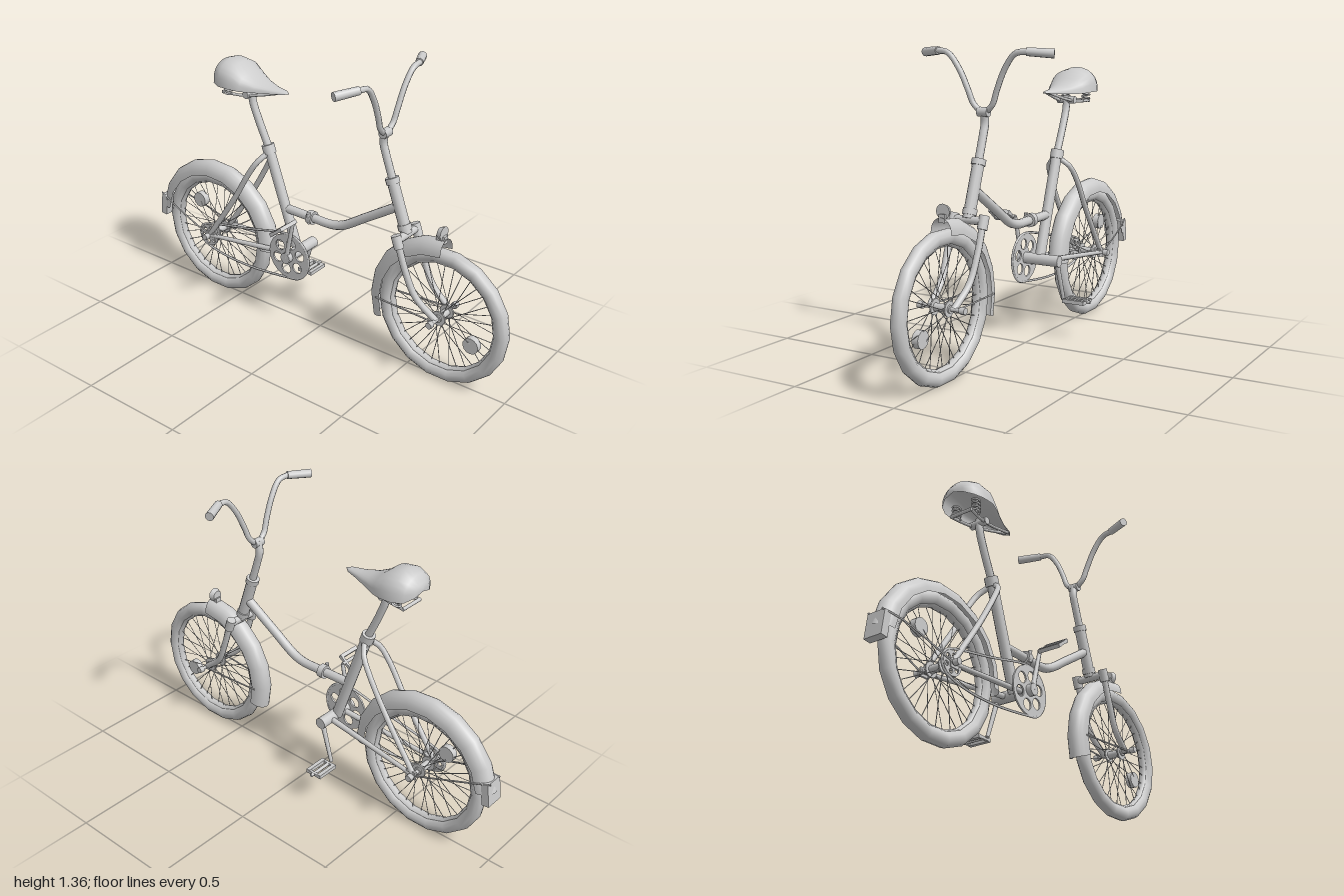
import * as THREE from 'three';
import { mergeGeometries } from 'three/addons/utils/BufferGeometryUtils.js';

const mat = new THREE.MeshStandardMaterial({ color: 0xcccccc });
const thin = new THREE.MeshStandardMaterial({ color: 0xcccccc, side: THREE.DoubleSide });
const V = (x, y, z = 0) => new THREE.Vector3(x, y, z);

function add(parent, name, geo, material = mat) {
  const m = new THREE.Mesh(geo, material);
  m.name = name;
  parent.add(m);
  return m;
}

// straight rod between two points
function rod(a, b, r0, r1 = r0, sides = 10) {
  const d = b.clone().sub(a);
  const g = new THREE.CylinderGeometry(r1, r0, d.length(), sides);
  g.applyQuaternion(new THREE.Quaternion().setFromUnitVectors(V(0, 1, 0), d.clone().normalize()));
  const c = a.clone().add(b).multiplyScalar(0.5);
  return g.translate(c.x, c.y, c.z);
}

// smooth bent tube
function tube(pts, r, closed = false, seg = 20, sides = 8) {
  return new THREE.TubeGeometry(new THREE.CatmullRomCurve3(pts, closed, 'centripetal'), seg, r, sides, closed);
}

// surface through rows of points
function loft(rows) {
  const n = rows[0].length, pos = [], idx = [];
  rows.forEach(row => row.forEach(p => pos.push(p.x, p.y, p.z)));
  for (let i = 0; i < rows.length - 1; i++) for (let j = 0; j < n - 1; j++) {
    const a = i * n + j, b = a + 1, c = a + n, d = c + 1;
    idx.push(a, b, c, b, d, c);
  }
  const g = new THREE.BufferGeometry();
  g.setAttribute('position', new THREE.Float32BufferAttribute(pos, 3));
  g.setIndex(idx);
  g.computeVertexNormals();
  return g;
}

// mudguard arched over the tyre, swept about the wheel centre
function fender(cx, cy, from, to, seg) {
  const rows = [];
  for (let i = 0; i <= seg; i++) {
    const a = THREE.MathUtils.degToRad(from + (to - from) * i / seg), row = [];
    for (let j = 0; j <= 10; j++) {
      const t = (j / 10 - 0.5) * Math.PI * 1.05, r = 0.308 + 0.062 * Math.cos(t);
      row.push(V(cx + r * Math.cos(a), cy + r * Math.sin(a), 0.05 * Math.sin(t)));
    }
    rows.push(row);
  }
  return loft(rows);
}

// flat sprocket with round cut-outs
function sprocket(r, holes, hr, hd, depth) {
  const s = new THREE.Shape().absarc(0, 0, r, 0, Math.PI * 2);
  for (let i = 0; i < holes; i++) {
    const a = i / holes * Math.PI * 2 + 0.3;
    s.holes.push(new THREE.Path().absarc(hd * Math.cos(a), hd * Math.sin(a), hr, 0, Math.PI * 2, true));
  }
  return new THREE.ExtrudeGeometry(s, { depth, bevelEnabled: false, curveSegments: 10 }).translate(0, 0, -depth / 2);
}

function wheel(name, x, y, reflectorAngle) {
  const g = new THREE.Group();
  g.name = name;
  g.position.set(x, y, 0);
  add(g, 'tyre', new THREE.TorusGeometry(0.291, 0.034, 10, 18));
  add(g, 'rim', new THREE.TorusGeometry(0.263, 0.012, 6, 18).scale(1, 1, 1.6));
  const spokes = [];
  for (let i = 0; i < 36; i++) {
    const a = i / 36 * Math.PI * 2, h = a + (i % 4 < 2 ? 0.35 : -0.35), s = i % 2 ? 1 : -1;
    spokes.push(rod(V(0.03 * Math.cos(h), 0.03 * Math.sin(h), s * 0.035),
      V(0.262 * Math.cos(a), 0.262 * Math.sin(a), 0), 0.0018, 0.0018, 4));
  }
  add(g, 'spokes', mergeGeometries(spokes));
  add(g, 'hub', rod(V(0, 0, -0.045), V(0, 0, 0.045), 0.018));
  add(g, 'axle', rod(V(0, 0, -0.11), V(0, 0, 0.11), 0.009, 0.009, 8));
  for (const s of [-1, 1]) {
    add(g, 'hubFlange', rod(V(0, 0, s * 0.031), V(0, 0, s * 0.038), 0.034, 0.034, 14));
    add(g, 'axleNut', rod(V(0, 0, s * 0.09), V(0, 0, s * 0.115), 0.016, 0.016, 6));
  }
  const rx = 0.178 * Math.cos(reflectorAngle), ry = 0.178 * Math.sin(reflectorAngle);
  add(g, 'spokeReflector', rod(V(rx, ry, -0.015), V(rx, ry, 0.015), 0.038, 0.038, 14));
  return g;
}

// crank arm with its cage pedal
function crank(s, end, tilt) {
  const g = new THREE.Group();
  g.name = s > 0 ? 'leftCrank' : 'rightCrank';
  add(g, 'crankArm', rod(V(-0.127, 0.37, s * 0.095), V(end.x, end.y, s * 0.1), 0.012, 0.009, 8));
  const p = new THREE.Group();
  p.name = 'pedal';
  p.position.set(end.x, end.y, s * 0.17);
  p.rotation.z = tilt;
  add(p, 'pedalAxle', rod(V(0, 0, -0.07), V(0, 0, 0.055), 0.008, 0.008, 8));
  for (const k of [-1, 1]) {
    add(p, 'pedalRail', new THREE.BoxGeometry(0.018, 0.018, 0.11).translate(k * 0.032, 0, 0));
    add(p, 'pedalEnd', new THREE.BoxGeometry(0.08, 0.014, 0.012).translate(0, 0, k * 0.05));
  }
  g.add(p);
  return g;
}

export function createModel() {
  const bike = new THREE.Group();
  bike.name = 'foldingBicycle';
  const RX = -0.632, FX = 0.67, WY = 0.32, BX = -0.127, BY = 0.37;
  bike.add(wheel('rearWheel', RX, WY, 2.3), wheel('frontWheel', FX, WY, -0.55));

  // mudguards and flaps
  add(bike, 'rearFender', fender(RX, WY, 0, 172, 9), thin);
  add(bike, 'frontFender', fender(FX, WY, 90, 198, 6), thin);
  const flap = add(bike, 'rearFlap', new THREE.BoxGeometry(0.035, 0.11, 0.09));
  flap.position.set(-0.975, 0.372, 0);
  flap.rotation.z = -0.12;

  // frame
  add(bike, 'seatTube', rod(V(-0.3, 0.85), V(BX - 0.008, BY), 0.025, 0.025, 12));
  add(bike, 'seatClamp', rod(V(-0.307, 0.865), V(-0.293, 0.825), 0.031, 0.031, 12));
  add(bike, 'seatPost', tube([V(-0.295, 0.84), V(-0.36, 0.98), V(-0.39, 1.06), V(-0.395, 1.12)], 0.018));
  add(bike, 'mainTube', tube([V(-0.2, 0.57), V(-0.05, 0.568), V(0.07, 0.568), V(0.13, 0.585), V(0.25, 0.66), V(0.415, 0.765)], 0.021, false, 24, 10));
  add(bike, 'foldingJoint', rod(V(-0.065, 0.568), V(-0.035, 0.568), 0.032, 0.032, 12));
  add(bike, 'jointLever', rod(V(-0.05, 0.545, 0.02), V(-0.05, 0.6, 0.025), 0.009));
  add(bike, 'bottomBracket', rod(V(BX, BY, -0.11), V(BX, BY, 0.105), 0.027, 0.027, 12));
  for (const s of [-1, 1]) {
    add(bike, 'seatStay', tube([V(-0.295, 0.83, s * 0.012), V(-0.325, 0.79, s * 0.055), V(-0.37, 0.72, s * 0.07),
      V(-0.46, 0.57, s * 0.073), V(RX, WY, s * 0.075)], 0.013));
    add(bike, 'chainStay', rod(V(BX, BY, s * 0.045), V(RX, WY, s * 0.078), 0.014, 0.01));
    add(bike, 'dropout', new THREE.BoxGeometry(0.05, 0.04, 0.01).translate(RX + 0.01, WY, s * 0.078));
    // wire fender braces
    add(bike, 'rearFenderBrace', tube([V(RX, WY, s * 0.085), V(-0.9, 0.408, s * 0.06), V(-0.995, 0.43, s * 0.035)], 0.004, false, 8, 5));
    add(bike, 'frontFenderBrace', rod(V(FX, WY, s * 0.075), V(0.35, 0.315, s * 0.05), 0.004, 0.004, 5));
  }

  // steering column and fork
  add(bike, 'headTube', rod(V(0.388, 0.88), V(0.468, 0.655), 0.026, 0.026, 12));
  add(bike, 'headCollar', rod(V(0.383, 0.895), V(0.392, 0.87), 0.031, 0.031, 12));
  add(bike, 'lowerCollar', rod(V(0.453, 0.695), V(0.462, 0.67), 0.031, 0.031, 12));
  add(bike, 'stem', tube([V(0.39, 0.88), V(0.35, 0.995), V(0.336, 1.045), V(0.345, 1.1)], 0.018, false, 16, 10));
  add(bike, 'forkCrown', rod(V(0.47, 0.65, -0.075), V(0.47, 0.65, 0.075), 0.018));
  for (const s of [-1, 1]) {
    add(bike, 'forkSleeve', rod(V(0.462, 0.673, s * 0.075), V(0.482, 0.617, s * 0.075), 0.022, 0.022, 12));
    add(bike, 'forkLeg', tube([V(0.475, 0.64, s * 0.075), V(0.52, 0.51, s * 0.074), V(0.57, 0.405, s * 0.068), V(FX, WY, s * 0.058)], 0.015));
  }

  // handlebar, swept back at the grips
  const half = [[0.364, 1.335, 0.165], [0.36, 1.27, 0.112], [0.355, 1.18, 0.07], [0.35, 1.12, 0.045]];
  const side = s => [V(0.36, 1.343, s * 0.22), ...half.map(p => V(p[0], p[1], s * p[2]))];
  add(bike, 'handlebar', tube([...side(1), V(0.346, 1.09, 0), ...side(-1).reverse()], 0.013, false, 44));
  add(bike, 'handlebarClamp', rod(V(0.346, 1.09, -0.025), V(0.346, 1.09, 0.025), 0.021));
  for (const s of [-1, 1]) {
    add(bike, 'grip', rod(V(0.36, 1.343, s * 0.215), V(0.31, 1.335, s * 0.318), 0.018, 0.02));
  }

  // fender-top lamp
  add(bike, 'frontLamp', rod(V(0.632, 0.712), V(0.655, 0.712), 0.024, 0.033, 12));
  add(bike, 'lampBracket', new THREE.BoxGeometry(0.04, 0.035, 0.03).translate(0.645, 0.685, 0));

  // drivetrain on the left side
  const CZ = 0.075;
  add(bike, 'chainring', sprocket(0.115, 6, 0.026, 0.068, 0.008)).position.set(BX, BY, CZ);
  add(bike, 'rearSprocket', sprocket(0.055, 6, 0.011, 0.036, 0.008)).position.set(RX, WY, CZ);
  const loop = [];
  for (let i = 0; i <= 6; i++) {
    const a = Math.PI * (0.55 - i / 6 * 1.08);
    loop.push(V(BX + 0.117 * Math.cos(a), BY + 0.117 * Math.sin(a), CZ));
  }
  loop.push(V(-0.36, 0.232, CZ), V(-0.53, 0.238, CZ));
  for (let i = 0; i <= 4; i++) {
    const a = Math.PI * (1.45 - i / 4 * 0.9);
    loop.push(V(RX + 0.06 * Math.cos(a), WY + 0.06 * Math.sin(a), CZ));
  }
  loop.push(V(-0.38, 0.435, CZ));
  add(bike, 'chain', tube(loop, 0.006, true, 80, 5));
  bike.add(crank(1, V(-0.08, 0.572), 0.65), crank(-1, V(-0.187, 0.18), 0));

  // saddle shell: x, half width, top, rim
  const seat = new THREE.Group();
  seat.name = 'saddle';
  const rows = [[-0.575, 0, 1.18, 1.17], [-0.57, 0.05, 1.205, 1.155], [-0.545, 0.09, 1.235, 1.14], [-0.5, 0.11, 1.25, 1.135],
    [-0.44, 0.112, 1.24, 1.135], [-0.39, 0.095, 1.2, 1.13], [-0.33, 0.066, 1.172, 1.13], [-0.26, 0.037, 1.157, 1.132],
    [-0.2, 0.02, 1.15, 1.137], [-0.175, 0, 1.142, 1.14]].map(([x, w, top, rim]) =>
    Array.from({ length: 13 }, (_, j) => {
      const t = j / 12 * Math.PI;
      return V(x, rim + (top - rim) * Math.pow(Math.max(0, Math.sin(t)), 0.75), w * Math.cos(t));
    }));
  add(seat, 'saddleShell', loft(rows), thin);
  for (const s of [-1, 1]) {
    add(seat, 'saddleRail', tube([V(-0.52, 1.09, s * 0.055), V(-0.43, 1.09, s * 0.04), V(-0.34, 1.105, s * 0.025), V(-0.2, 1.143, s * 0.006)], 0.007));
    const coil = Array.from({ length: 33 }, (_, i) => {
      const a = i / 8 * Math.PI * 2;
      return V(-0.487 + 0.018 * Math.cos(a), 1.09 + i * 0.0022, s * 0.055 + 0.018 * Math.sin(a));
    });
    add(seat, 'saddleSpring', tube(coil, 0.005, false, 64, 5));
  }
  add(seat, 'rearRail', rod(V(-0.52, 1.09, -0.058), V(-0.52, 1.09, 0.058), 0.008));
  add(seat, 'saddleClamp', rod(V(-0.395, 1.098, -0.045), V(-0.395, 1.098, 0.045), 0.018));
  bike.add(seat);
  return bike;
}
